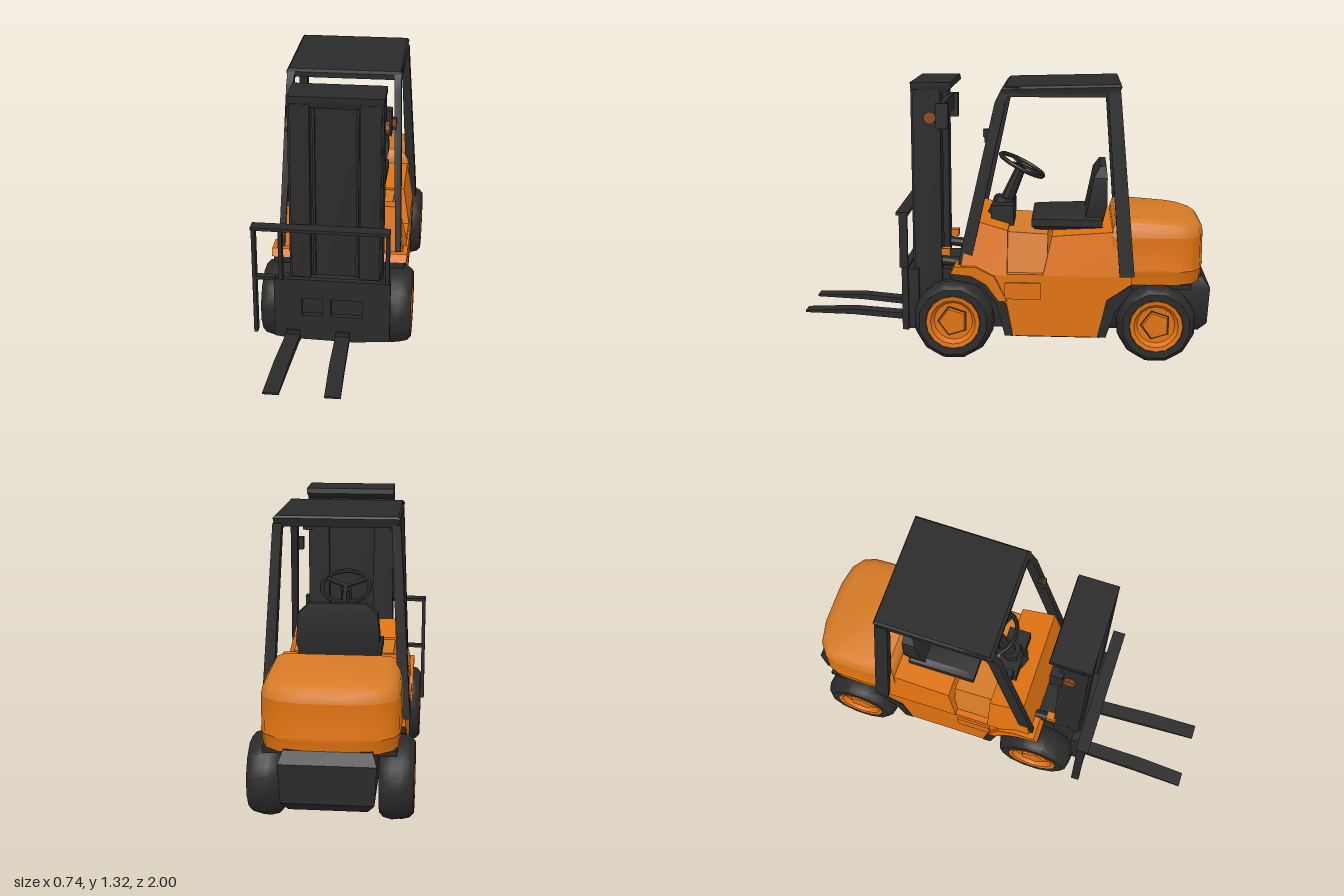
import * as THREE from 'three';
import { toCreasedNormals } from 'three/addons/utils/BufferGeometryUtils.js';

export function createModel() {
  const paint = (name, color) => {
    const m = new THREE.MeshStandardMaterial({ color, side: THREE.DoubleSide });
    m.name = name;
    return m;
  };
  const orange = paint('orange paint', 0xdf7210);
  const paleOrange = paint('faded orange paint', 0xd67a26);
  const black = paint('black', 0x2a2a2a);
  const lampBrown = paint('lamp amber brown', 0x8a4720);

  const root = new THREE.Group();
  root.name = 'forklift';
  const truck = new THREE.Group();
  truck.name = 'truck';
  truck.position.x = 0.01;
  root.add(truck);

  function add(name, geo, mat, parent = truck) {
    const m = new THREE.Mesh(toCreasedNormals(geo, 0.6), mat);
    m.name = name;
    parent.add(m);
    return m;
  }
  // Box given by its limits
  function box(name, mat, x0, x1, y0, y1, z0, z1) {
    const g = new THREE.BoxGeometry(x1 - x0, y1 - y0, z1 - z0);
    g.translate((x0 + x1) / 2, (y0 + y1) / 2, (z0 + z1) / 2);
    add(name, g, mat);
  }
  // Closed skin through rings, from the lowest to the highest
  function loft(name, mat, rings) {
    const n = rings[0].length, idx = [];
    for (let k = 0; k < rings.length - 1; k++)
      for (let i = 0; i < n; i++) {
        const a = k * n + i, b = k * n + (i + 1) % n;
        idx.push(a, b, b + n, a, b + n, a + n);
      }
    const t = (rings.length - 1) * n;
    for (let i = 1; i < n - 1; i++) idx.push(t, t + i, t + i + 1, 0, i + 1, i);
    const g = new THREE.BufferGeometry();
    g.setAttribute('position', new THREE.Float32BufferAttribute(rings.flat(2), 3));
    g.setIndex(idx);
    add(name, g, mat);
  }
  // Rectangular ring; yb and yf are heights at the back and front edge
  const rect = (hw, z0, z1, yb, yf = yb, cx = 0) =>
    [[cx + hw, yf, z1], [cx + hw, yb, z0], [cx - hw, yb, z0], [cx - hw, yf, z1]];
  // Side outline of [z, y] points, extruded across x
  function sidePlate(name, mat, pts, x0, x1) {
    const s = new THREE.Shape(pts.map(([z, y]) => new THREE.Vector2(-z, y)));
    const g = new THREE.ExtrudeGeometry(s, { depth: x1 - x0, bevelEnabled: false });
    g.rotateY(Math.PI / 2);
    g.translate(x0, 0, 0);
    add(name, g, mat);
  }
  // Round bar between two points
  function rod(name, mat, a, b, r0, r1 = r0) {
    const p = new THREE.Vector3(...a), q = new THREE.Vector3(...b), d = q.clone().sub(p);
    const m = add(name, new THREE.CylinderGeometry(r1, r0, d.length(), 8), mat);
    m.position.copy(p).add(q).multiplyScalar(0.5);
    m.quaternion.setFromUnitVectors(new THREE.Vector3(0, 1, 0), d.normalize());
  }

  // Chassis with cut-outs for the wheels
  sidePlate('chassis', orange, [[-0.06, 0.125], [-0.47, 0.125], [-0.5, 0.25], [-0.56, 0.35], [-0.62, 0.39],
    [-0.62, 0.43], [0.16, 0.43], [0.08, 0.39], [0.0, 0.3]], -0.315, 0.315);
  box('underside', black, -0.3, 0.3, 0.118, 0.13, -0.47, -0.07);
  box('frontAxleHousing', black, -0.2, 0.2, 0.13, 0.42, -0.06, 0.36);
  for (const s of [-1, 1]) {
    sidePlate('rearWheelArch', black, [[-0.46, 0.125], [-0.5, 0.125], [-0.54, 0.25], [-0.62, 0.36], [-0.9, 0.36],
      [-0.9, 0.386], [-0.6, 0.386], [-0.5, 0.31]], s * 0.24 - 0.05, s * 0.24 + 0.05);
    sidePlate('rearArchEdge', black, [[-0.46, 0.125], [-0.5, 0.125], [-0.54, 0.25], [-0.62, 0.36],
      [-0.62, 0.386], [-0.5, 0.31]], s * 0.3 - 0.018, s * 0.3 + 0.018);
    sidePlate('frontWheelArch', black, [[-0.06, 0.125], [-0.02, 0.125], [0.02, 0.28], [0.09, 0.37], [0.24, 0.4],
      [0.24, 0.43], [0.13, 0.42], [0.04, 0.37], [-0.03, 0.28]], s * 0.25 - 0.068, s * 0.25 + 0.068);
    sidePlate('frontFender', orange, [[-0.03, 0.3], [0.01, 0.3], [0.07, 0.38], [0.14, 0.42], [0.24, 0.43],
      [0.22, 0.465], [0.12, 0.465], [0.03, 0.42]], s * 0.265 - 0.065, s * 0.265 + 0.065);
    box('step', orange, s * 0.29 - 0.035, s * 0.29 + 0.035, 0.31, 0.39, -0.19, -0.02);
  }

  // Cowl, recessed floor console and seat base
  loft('cowl', orange, [rect(0.318, -0.03, 0.2, 0.425), rect(0.265, -0.03, 0.14, 0.63, 0.68)]);
  loft('floorConsole', paleOrange, [rect(0.285, -0.22, -0.02, 0.425), rect(0.24, -0.22, -0.02, 0.61, 0.62)]);
  loft('seatBase', orange, [rect(0.318, -0.6, -0.2, 0.425), rect(0.285, -0.6, -0.24, 0.64, 0.61)]);
  box('dashboard', black, -0.12, 0.12, 0.62, 0.72, -0.05, 0.06);

  // Counterweight: rounded plan outline stacked with a soft top
  const plan = (y, k, slope = 0) => {
    const half = [[0.3, -0.52], [0.305, -0.7], [0.302, -0.84], [0.28, -0.9], [0.22, -0.945], [0.11, -0.967]];
    const all = [...half, ...half.map(([x, z]) => [-x, z]).reverse()];
    return all.map(([x, z]) => [x * k, y + slope * (z + 0.75), -0.7 + (z + 0.7) * k]);
  };
  loft('counterweight', orange, [plan(0.385, 0.97), plan(0.44, 0.99), plan(0.45, 1.0), plan(0.46, 0.99),
    plan(0.61, 0.985)]);
  loft('counterweightTop', paleOrange, [plan(0.61, 0.985), plan(0.645, 0.96, 0.03),
    plan(0.672, 0.9, 0.05), plan(0.688, 0.78, 0.06)]);
  loft('rearBumper', black, [rect(0.17, -0.95, -0.46, 0.125), rect(0.2, -0.99, -0.46, 0.17),
    rect(0.21, -0.998, -0.46, 0.35), rect(0.19, -0.96, -0.46, 0.4)]);

  // Wheels: chunky lathe tyre closed on the inside, dished rim and five-sided hub
  const v = (a) => a.map(([x, y]) => new THREE.Vector2(x, y));
  const tyre = new THREE.LatheGeometry(v([[0, -0.05], [0.11, -0.055], [0.13, -0.074], [0.165, -0.076], [0.185, -0.058],
    [0.195, -0.02], [0.195, 0.02], [0.185, 0.058], [0.165, 0.076], [0.13, 0.074], [0.115, 0.055]]), 24);
  // Staggered tread: every other vertex of each half is drawn in
  const tp = tyre.attributes.position;
  for (let i = 0; i < tp.count; i++) {
    const ring = Math.floor(i / 11) % 24, row = i % 11;
    if (row < 3 || row > 8) continue;
    const k = (ring + (row > 5 ? 1 : 0)) % 2 ? 0.97 : 1.0;
    tp.setX(i, tp.getX(i) * k);
    tp.setZ(i, tp.getZ(i) * k);
  }
  const rim = new THREE.LatheGeometry(v([[0.13, 0.06], [0.128, 0.076], [0.108, 0.073], [0.092, 0.05], [0, 0.045]]), 16);
  for (const [name, z, r] of [['front', 0.225, 1], ['rear', -0.735, 0.97]])
    for (const s of [-1, 1]) {
      const w = new THREE.Group();
      w.name = name + 'Wheel';
      w.position.set(s * 0.287, 0.2, z);
      w.rotation.z = -s * Math.PI / 2;
      w.scale.set(r, 1, r);
      truck.add(w);
      add('tyre', tyre, black, w);
      add('rim', rim, orange, w);
      add('hub', new THREE.CylinderGeometry(0.066, 0.072, 0.022, 5), orange, w).position.y = 0.056;
      add('hubRing', new THREE.CylinderGeometry(0.078, 0.078, 0.004, 5), black, w).position.y = 0.048;
    }

  // Overhead guard
  for (const s of [-1, 1]) {
    loft('frontPost', black, [rect(0.014, 0.145, 0.205, 0.47, 0.47, s * 0.285),
      rect(0.017, -0.02, 0.03, 1.24, 1.24, s * 0.258), rect(0.017, -0.05, 0.0, 1.3, 1.3, s * 0.255)]);
    loft('rearPost', black, [rect(0.025, -0.63, -0.56, 0.43, 0.43, s * 0.31),
      rect(0.02, -0.55, -0.49, 1.29, 1.29, s * 0.26)]);
    box('roofRail', black, s * 0.255 - 0.018, s * 0.255 + 0.018, 1.265, 1.31, -0.53, -0.02);
    box('postLamp', black, s * 0.24 - 0.018, s * 0.24 + 0.018, 1.05, 1.11, 0.05, 0.08);
  }
  box('postLampLens', lampBrown, 0.223, 0.257, 1.075, 1.11, 0.08, 0.086);
  loft('roof', black, [rect(0.272, -0.54, 0.0, 1.275), rect(0.278, -0.555, 0.0, 1.315, 1.3),
    rect(0.268, -0.55, -0.015, 1.325, 1.312)]);

  // Seat
  loft('seatCushion', black, [rect(0.15, -0.47, -0.16, 0.61), rect(0.19, -0.48, -0.14, 0.635),
    rect(0.19, -0.48, -0.14, 0.67), rect(0.16, -0.46, -0.18, 0.69, 0.68)]);
  loft('seatBack', black, [rect(0.17, -0.48, -0.39, 0.65), rect(0.19, -0.5, -0.41, 0.74),
    rect(0.18, -0.5, -0.435, 0.87), rect(0.13, -0.495, -0.465, 0.92)]);

  // Steering
  rod('steeringBase', black, [0, 0.64, 0.02], [0, 0.74, -0.005], 0.07, 0.05);
  rod('steeringColumn', black, [0, 0.7, 0.0], [0, 0.89, -0.08], 0.035, 0.025);
  const steering = new THREE.Group();
  steering.name = 'steeringWheel';
  steering.position.set(0, 0.9, -0.085);
  steering.rotation.x = -2.05;
  truck.add(steering);
  add('rimRing', new THREE.TorusGeometry(0.117, 0.011, 6, 20), black, steering);
  for (let i = 0; i < 3; i++) {
    const g = new THREE.BoxGeometry(0.018, 0.115, 0.012);
    g.translate(0, 0.057, 0);
    add('spoke', g, black, steering).rotation.z = i * Math.PI * 2 / 3;
  }

  // Mast: two channels, inner panel and top cap
  for (const [x0, x1, e0, e1] of [[-0.21, -0.11, -0.2, -0.11], [0.12, 0.225, 0.12, 0.215]]) {
    box('mastRail', black, x0, x1, 0.12, 1.29, 0.29, 0.42);
    box('mastRailFace', black, e0, e1, 0.12, 1.29, 0.42, 0.43);
  }
  box('mastPanel', black, -0.11, 0.12, 0.14, 1.285, 0.33, 0.395);
  for (const x of [-0.1, 0.1]) box('mastGuide', black, x, x + 0.012, 0.14, 1.285, 0.395, 0.41);
  loft('mastCap', black, [rect(0.21, 0.28, 0.42, 1.27, 1.27, 0.008), rect(0.218, 0.235, 0.43, 1.3, 1.3, 0.008),
    rect(0.218, 0.24, 0.43, 1.325, 1.325, 0.008)]);
  box('mastCrossbar', black, -0.2, 0.215, 1.15, 1.23, 0.27, 0.3);
  for (const s of [-1, 1]) {
    const x = 0.008 + s * 0.22;
    box('mastLampBracket', black, x - 0.022, x + 0.022, 1.11, 1.23, 0.25, 0.31);
    rod('mastLamp', lampBrown, [x - s * 0.015, 1.16, 0.338], [x + s * 0.015, 1.16, 0.338], 0.03);
    rod('tiltCylinder', black, [s * 0.19, 0.44, 0.1], [s * 0.19, 0.47, 0.37], 0.025);
    box('tiltBracket', orange, s * 0.2 - 0.02, s * 0.2 + 0.02, 0.49, 0.525, 0.25, 0.3);
  }

  // Carriage plate with two windows
  const plate = new THREE.Shape(v([[-0.28, 0.13], [-0.2, 0.12], [0.1, 0.115], [0.27, 0.13], [0.27, 0.44], [-0.28, 0.44]]));
  for (const [x0, x1] of [[-0.148, -0.05], [-0.01, 0.14]])
    plate.holes.push(new THREE.Path(v([[x0, 0.25], [x0, 0.34], [x1, 0.34], [x1, 0.25]])));
  const pg = new THREE.ExtrudeGeometry(plate, { depth: 0.03, bevelEnabled: false });
  pg.translate(0, 0, 0.45);
  add('carriagePlate', pg, black);
  box('carriageBack', black, -0.26, 0.25, 0.13, 0.43, 0.4, 0.455);

  // Load backrest, reaching further out on one side
  box('backrestTop', black, -0.38, 0.265, 0.695, 0.71, 0.445, 0.505);
  box('backrestLower', black, -0.37, -0.27, 0.435, 0.45, 0.455, 0.49);
  for (const [x, y] of [[-0.37, 0.15], [-0.245, 0.44], [0.255, 0.44]])
    box('backrestBar', black, x - 0.009, x + 0.009, y, 0.7, 0.45, 0.49);

  // Forks, tapering to the tips
  for (const [a, b] of [[-0.19, -0.212], [0.045, 0.06]]) {
    const end = (x, hw, y0, y1, z) => [[x + hw, y0, z], [x + hw, y1, z], [x - hw, y1, z], [x - hw, y0, z]];
    loft('fork', black, [end(a, 0.034, 0.115, 0.145, 0.45), end((a + b) / 2, 0.036, 0.142, 0.168, 0.76),
      end(b, 0.036, 0.15, 0.16, 1.0)]);
    box('forkShank', black, a - 0.034, a + 0.034, 0.115, 0.17, 0.47, 0.49);
  }
  return root;
}
